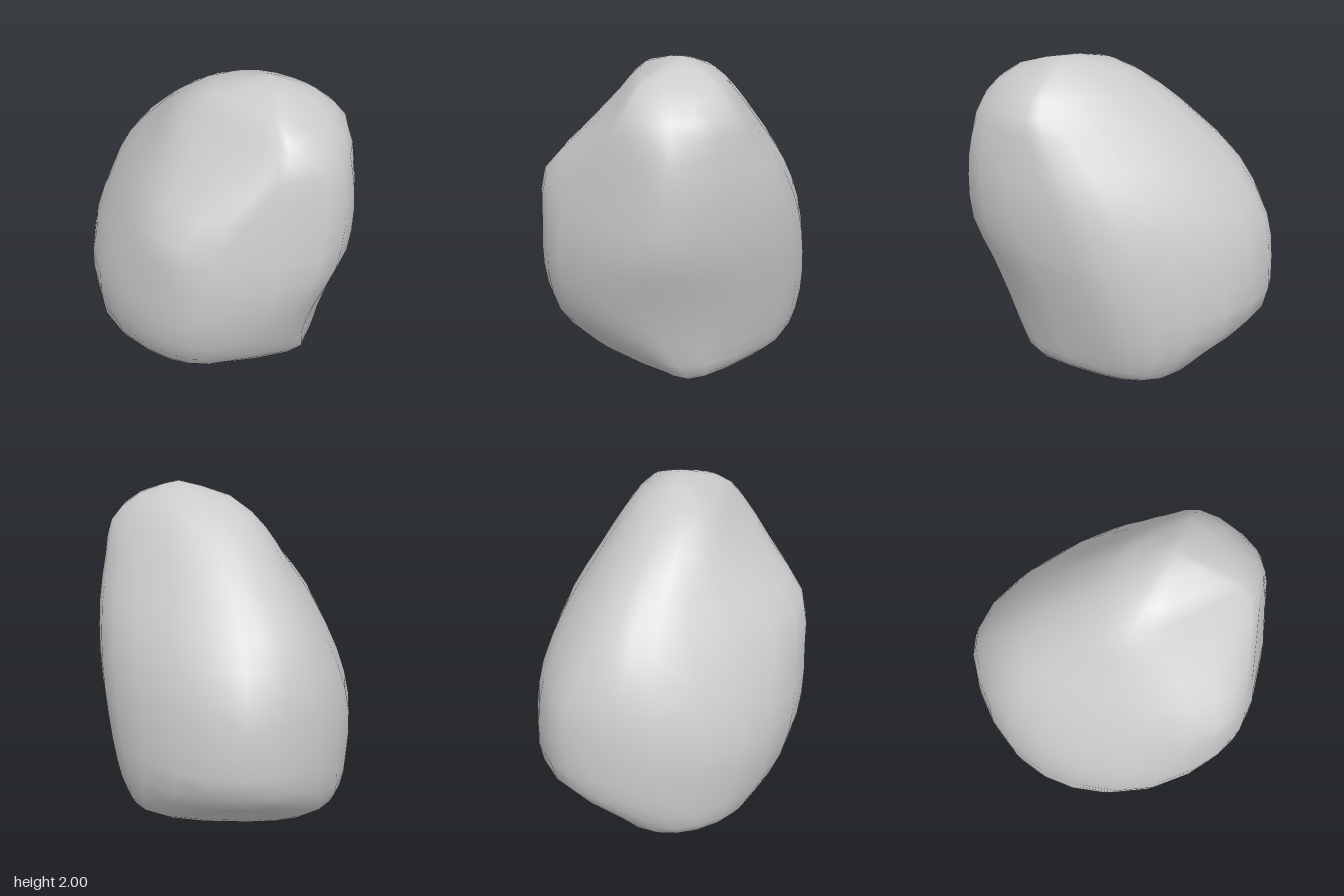
import * as THREE from 'three';
import { mergeVertices } from 'three/addons/utils/BufferGeometryUtils.js';

const SIDES = 8;
const STEP = Math.PI / 4;
const RINGS = 22;
const PER_CORNER = 3;

// Reach of a single point in each of the eight compass directions
const pole = (y, x, z) => [y, ...Array.from({ length: SIDES }, (_, k) =>
  x * Math.cos(k * STEP) + z * Math.sin(k * STEP))];

// Each level: height, then reach towards
// +x, +x+z, +z, -x+z, -x, -x-z, -z, +x-z
const levels = [
  pole(0, 0.1, 0),
  [0.03, 0.34, 0.43, 0.32, 0.36, 0.38, 0.45, 0.34, 0.40],
  [0.09, 0.55, 0.62, 0.47, 0.53, 0.63, 0.66, 0.52, 0.60],
  [0.20, 0.625, 0.68, 0.60, 0.64, 0.725, 0.76, 0.64, 0.71],
  [0.42, 0.685, 0.74, 0.78, 0.775, 0.76, 0.83, 0.865, 0.775],
  [0.70, 0.735, 0.83, 0.87, 0.83, 0.77, 0.835, 0.895, 0.775],
  [1.00, 0.77, 0.94, 0.89, 0.825, 0.69, 0.795, 0.85, 0.73],
  [1.30, 0.77, 0.96, 0.85, 0.79, 0.54, 0.66, 0.67, 0.62],
  [1.55, 0.735, 0.93, 0.80, 0.56, 0.375, 0.43, 0.45, 0.47],
  [1.75, 0.695, 0.84, 0.74, 0.365, 0.245, 0.21, 0.23, 0.345],
  [1.91, 0.53, 0.645, 0.56, 0.225, 0.05, -0.04, 0.0, 0.21],
  pole(2, 0.28, 0.26),
];

// Where the outline touches each octagon side, as a fraction along it
const touch = [0.32, 0.58, 0.72, 0.43, 0.5, 0.5, 0.38, 0.55];

// Corners of the octagon whose sides lie at the given reaches
function octagon(reach) {
  return reach.map((h, k) => {
    const a = k * STEP;
    const next = reach[(k + 1) % SIDES];
    const along = (next - h * Math.cos(STEP)) / Math.sin(STEP);
    return new THREE.Vector2(
      h * Math.cos(a) - along * Math.sin(a),
      h * Math.sin(a) + along * Math.cos(a));
  });
}

// Rounded outline touching every octagon side once
function roundedOutline(corners) {
  const points = [];
  corners.forEach((c, k) => {
    const next = (k + 1) % SIDES;
    const start = corners[(k + SIDES - 1) % SIDES].clone().lerp(c, touch[k]);
    const end = c.clone().lerp(corners[next], touch[next]);
    const curve = new THREE.QuadraticBezierCurve(start, c, end);
    for (let i = 0; i < PER_CORNER; i++) points.push(curve.getPoint(i / PER_CORNER));
  });
  return points;
}

function rockGeometry() {
  // One smooth vertical profile per direction
  const profiles = Array.from({ length: SIDES }, (_, k) =>
    new THREE.SplineCurve(levels.map((l) => new THREE.Vector2(l[k + 1], l[0]))));

  const positions = [];
  const index = [];
  const n = SIDES * PER_CORNER;
  for (let r = 0; r <= RINGS; r++) {
    const samples = profiles.map((p) => p.getPoint(r / RINGS));
    const outline = roundedOutline(octagon(samples.map((s) => s.x)));
    outline.forEach((p) => positions.push(p.x, samples[0].y, p.y));
    if (r === RINGS) break;
    for (let j = 0; j < n; j++) {
      const a = r * n + j;
      const b = r * n + (j + 1) % n;
      if (r < RINGS - 1) index.push(a, a + n, b + n);
      if (r > 0) index.push(a, b + n, b);
    }
  }
  const geometry = new THREE.BufferGeometry();
  geometry.setAttribute('position', new THREE.Float32BufferAttribute(positions, 3));
  geometry.setIndex(index);
  // Weld the coincident points at the poles
  const welded = mergeVertices(geometry, 1e-4);
  welded.computeVertexNormals();
  return welded;
}

export function createModel() {
  const group = new THREE.Group();
  group.name = 'boulder';
  const rock = new THREE.Mesh(rockGeometry(), new THREE.MeshStandardMaterial({ color: 0xcccccc }));
  rock.name = 'rock';
  group.add(rock);
  return group;
}
